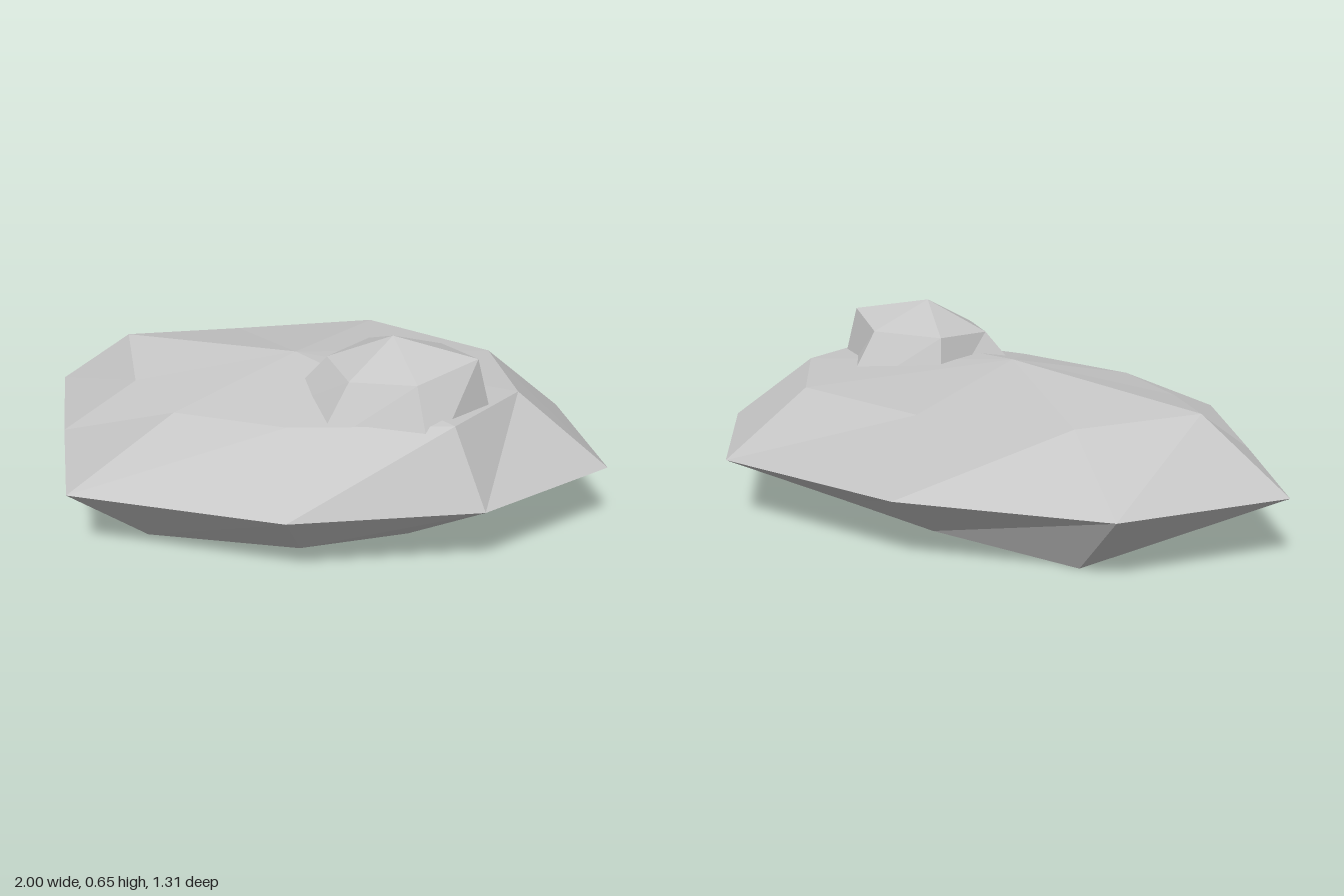
import * as THREE from 'three';

// Faceted stone from a bottom point, stacked rings (each [x, y, z]) and a top point
function stone(name, material, bottom, rings, top) {
  const pos = [];
  const tri = (a, b, c) => pos.push(...a, ...b, ...c);
  const n = rings[0].length;
  for (let k = 0; k < n; k++) {
    const j = (k + 1) % n;
    tri(bottom, rings[0][k], rings[0][j]);
    for (let r = 0; r + 1 < rings.length; r++) {
      const lo = rings[r], up = rings[r + 1];
      tri(lo[k], up[k], lo[j]);
      tri(up[k], up[j], lo[j]);
    }
    const last = rings[rings.length - 1];
    tri(last[k], top, last[j]);
  }
  const geometry = new THREE.BufferGeometry();
  geometry.setAttribute('position', new THREE.Float32BufferAttribute(pos, 3));
  geometry.computeVertexNormals();
  const mesh = new THREE.Mesh(geometry, material);
  mesh.name = name;
  return mesh;
}

export function createModel() {
  const group = new THREE.Group();
  group.name = 'rockFormation';
  const grey = new THREE.MeshStandardMaterial({ color: 0xc6c6c6, flatShading: true });
  grey.name = 'stone grey';

  // Wide base rock: underside ring, widest rim, upper shoulder
  const under = [
    [0.6, 0.025, 0], [0.41, 0.035, 0.27], [0.1, 0.025, 0.44],
    [-0.41, 0, 0.44], [-0.63, 0.03, 0.08], [-0.62, 0.035, -0.15],
    [-0.41, 0, -0.46], [0.09, 0.035, -0.4], [0.47, 0.045, -0.26],
  ];
  const rim = [
    [1, 0], [0.675, 0.42], [0.12, 0.655], [-0.585, 0.655], [-0.8, 0.2],
    [-1, -0.24], [-0.56, -0.61], [0.12, -0.655], [0.78, -0.475],
  ].map(([x, z]) => [x, 0.22, z]);
  const shoulder = [
    [0.7, 0.45, 0], [0.56, 0.46, 0.35], [0.05, 0.42, 0.41],
    [-0.34, 0.4, 0.35], [-0.56, 0.4, 0.13], [-0.71, 0.44, -0.18],
    [-0.37, 0.42, -0.4], [0.09, 0.455, -0.52], [0.55, 0.45, -0.34],
  ];
  group.add(stone('baseRock', grey, [-0.03, 0, 0], [under, rim, shoulder], [-0.04, 0.51, 0]));

  // Small rock sunk into the top of the base
  const foot = [
    [0.66, 0.33, 0.14], [0.505, 0.35, 0.42], [0.135, 0.35, 0.425],
    [-0.07, 0.36, 0.16], [0.17, 0.35, -0.12], [0.52, 0.35, -0.16],
  ];
  const crown = [
    [0.59, 0.605, 0.15], [0.435, 0.565, 0.32], [0.22, 0.55, 0.31],
    [0.105, 0.56, 0.14], [0.2, 0.57, -0.035], [0.44, 0.575, -0.035],
  ];
  group.add(stone('topRock', grey, [0.32, 0.3, 0.14], [foot, crown], [0.32, 0.655, 0.15]));

  return group;
}
